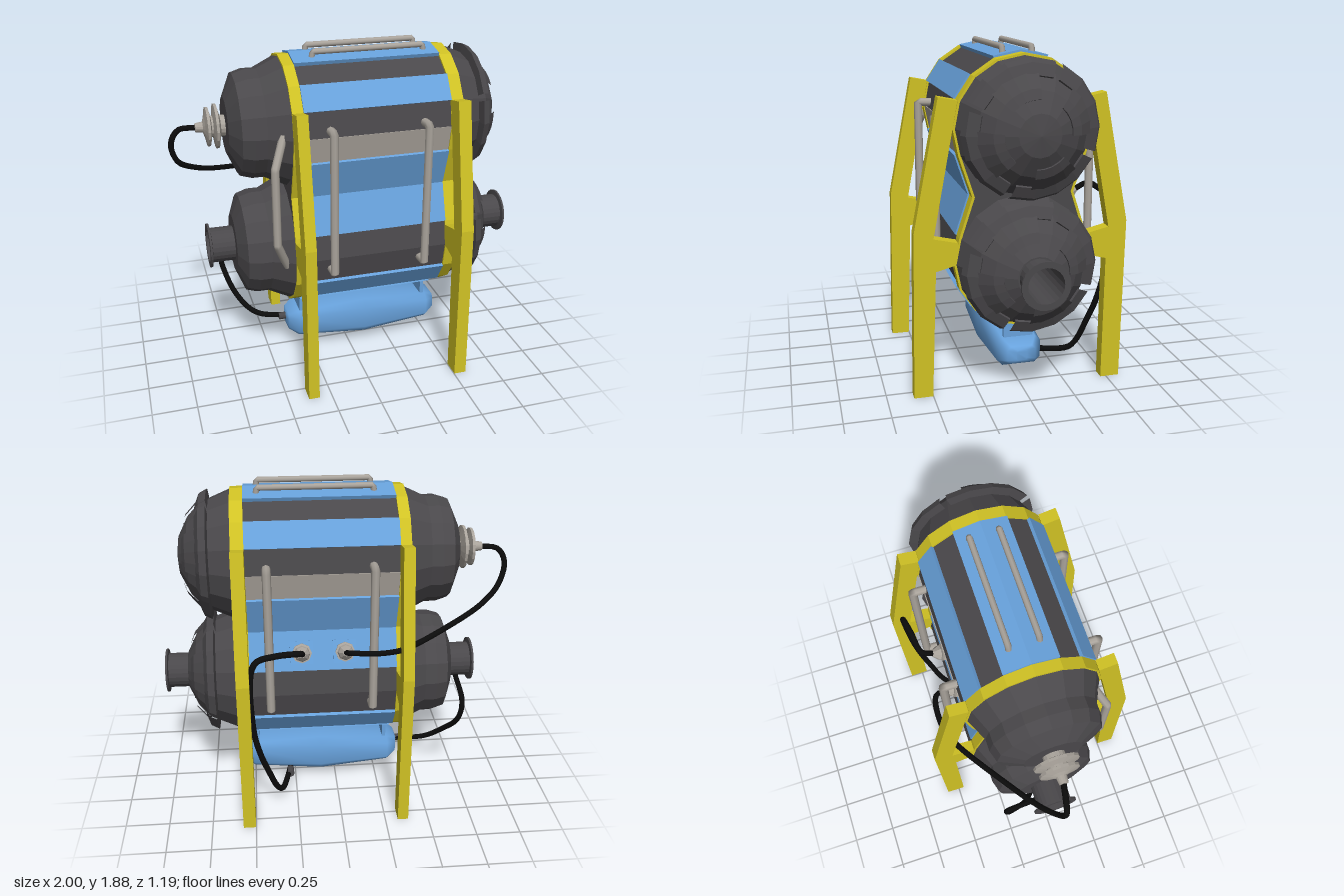
import * as THREE from 'three';

const mat = (name, color) => { const m = new THREE.MeshStandardMaterial({ color }); m.name = name; return m; };

export function createModel() {
  const root = new THREE.Group();
  root.name = 'twinTankUnit';
  const dark = mat('darkMetal', 0x4a484b), yellow = mat('yellowFrame', 0xd0c224), blue = mat('bluePanel', 0x68a2dc);
  const grey = mat('greyMetal', 0xaaa49c), black = mat('blackCable', 0x0c0c0c);

  const add = (name, geo, m, parent = root) => {
    const mesh = new THREE.Mesh(geo, m);
    mesh.name = name;
    parent.add(mesh);
    return mesh;
  };
  const flat = (g) => { const f = g.index ? g.toNonIndexed() : g; f.computeVertexNormals(); return f; };

  const UP = 1.466, LOW = 0.743, WAIST = (UP + LOW) / 2;
  // Point [z, y] on a tank facet corner
  const at = (cy, deg, r) => [r * Math.cos(deg * Math.PI / 180), cy + r * Math.sin(deg * Math.PI / 180)];
  const mirror = (pts) => pts.map(([z, y]) => [-z, y]);
  const vec2 = (pts) => pts.map(([z, y]) => new THREE.Vector2(-z, y));

  // Figure-eight outline of the two joined tanks
  const outline = (r) => {
    const half = [];
    for (let a = 90; a >= -22.5; a -= 22.5) half.push(at(UP, a, r));
    half.push([r - 0.1, WAIST]);
    for (let a = 22.5; a >= -90; a -= 22.5) half.push(at(LOW, a, r));
    return [...half, ...mirror(half).reverse().slice(1, -1)];
  };
  // Extrude a [z, y] polygon from x0 to x1
  const prism = (pts, x0, x1, hole) => {
    const shape = new THREE.Shape(vec2(pts));
    if (hole) shape.holes.push(hole);
    const g = new THREE.ExtrudeGeometry(shape, { depth: x1 - x0, bevelEnabled: false });
    return g.rotateY(Math.PI / 2).translate(x0, 0, 0);
  };
  // Turn an [x, radius] profile around the x axis at height y
  const turned = (profile, y, sides = 16, start = 0, length = Math.PI * 2) =>
    flat(new THREE.LatheGeometry(profile.map(([x, r]) => new THREE.Vector2(r, x)), sides, start, length)
      .rotateZ(-Math.PI / 2).translate(0, y, 0));
  const tube = (pts, r, smooth, sides = 8) => {
    const curve = new THREE.CatmullRomCurve3(pts.map((p) => new THREE.Vector3(...p)), false, 'catmullrom', smooth ? 0.5 : 0);
    return new THREE.TubeGeometry(curve, 60, r, sides);
  };

  // Joined tank body with a bore for the through pipe
  const bore = new THREE.Path().absarc(0, LOW, 0.098, 0, Math.PI * 2, true);
  add('tankBody', prism(outline(0.365), -0.38, 0.57, bore), dark);

  // Yellow hoops and legs at both ends
  const frontLeg = [[0.605, 0], [0.588, 0.923], [0.449, 1.631], [0.349, 1.611], [0.484, 0.893],
    [0.355, 0.863], [0.355, 0.743], [0.474, 0.713], [0.502, 0]];
  const backLeg = mirror(frontLeg);
  backLeg[0] = [-0.575, 0];
  backLeg[8] = [-0.467, 0];
  for (const [x0, x1] of [[-0.383, -0.322], [0.502, 0.573]]) {
    add('hoop', prism(outline(0.376), x0, x1, new THREE.Path(vec2(outline(0.362)))), yellow);
    add('frontLeg', prism(frontLeg, x0, x1), yellow);
    add('backLeg', prism(backLeg, x0, x1), yellow);
  }

  // Cladding plates along the facets
  const plate = (name, corner, m, thick) => {
    const pts = [...corner(0.365 + thick), ...corner(0.36).reverse()];
    return [name, pts, m];
  };
  const sidePlates = [
    plate('shoulderPanel', (r) => [at(UP, 45, r), at(UP, 22.5, r)], blue, 0.02),
    plate('greyStrip', (r) => [at(UP, 0, r), at(UP, -22.5, r)], grey, 0.005),
    plate('waistPanel', (r) => [at(UP, -22.5, r), [r - 0.1, WAIST], at(LOW, 22.5, r)], blue, 0.02),
    plate('lowerPanel', (r) => [at(LOW, -22.5, r), at(LOW, -45, r)], blue, 0.02),
  ];
  for (const [name, pts, m] of sidePlates) {
    add(name, prism(pts, -0.322, 0.502), m);
    add(name, prism(mirror(pts), -0.322, 0.502), m);
  }
  for (const [name, cy, s] of [['topPanel', UP, 1], ['bottomPanel', LOW, -1]]) {
    const p = plate(name, (r) => [67.5, 90, 112.5].map((a) => at(cy, a * s, r)), blue, 0.022);
    add(name, prism(p[1], -0.322, 0.502), blue);
  }

  // Tank ends: stepped on the right, domed on the left
  const stepped = [[-0.635, 0.285], [-0.57, 0.305], [-0.505, 0.305], [-0.38, 0.365]];
  const dome = [[0.745, 0.29], [0.81, 0.22], [0.865, 0.11]];
  const collar = [[0.57, 0.365], [0.7, 0.31]];
  add('upperSteppedEnd', turned([[-0.69, 0], [-0.69, 0.16], ...stepped], UP), dark);
  add('lowerSteppedEnd', turned([[-0.68, 0.098], [-0.68, 0.17], ...stepped], LOW), dark);
  add('upperDome', turned([...collar, ...dome, [0.88, 0]], UP), dark);
  add('lowerDome', turned([...collar, ...dome, [0.865, 0.098]], LOW), dark);

  // Split flanges and raised wedges on the domes
  const flange = [[0.69, 0.3], [0.7, 0.365], [0.74, 0.345], [0.765, 0.285], [0.74, 0.27]];
  const wedge = [[0.74, 0.29], [0.757, 0.297], [0.822, 0.226], [0.842, 0.175], [0.825, 0.17]];
  // Close the cut ends of an arc with flat polygons
  const arc = (name, profile, cy, start, length) => {
    const g = turned(profile, cy, 4, start, length);
    add(name, g, dark);
    for (const phi of [start, start + length]) {
      const cap = new THREE.ShapeGeometry(new THREE.Shape(profile.map(([x, r]) => new THREE.Vector2(r, x))));
      if (phi === start) cap.index.array.reverse();
      cap.rotateY(phi - Math.PI / 2).rotateZ(-Math.PI / 2).translate(0, cy, 0);
      add(name + 'End', flat(cap), dark);
    }
  };
  for (const cy of [UP, LOW]) for (let i = 0; i < 4; i++) {
    const mid = Math.PI / 8 + i * Math.PI / 2;
    arc('domeFlange', flange, cy, mid - 0.73, 1.46);
    arc('domeWedge', wedge, cy, mid - 0.45, 0.9);
  }

  // Open pipe running through the lower tank
  add('throughPipe', turned([[0.995, 0.095], [-0.826, 0.095], [-0.826, 0.128], [-0.814, 0.128], [-0.81, 0.101],
    [0.98, 0.101], [0.984, 0.128], [0.995, 0.128], [0.995, 0.095]], LOW, 24), dark);

  // Disc insulator on the upper tank
  add('insulator', turned([[-0.855, 0], [-0.85, 0.025], [-0.81, 0.03], [-0.8, 0.06], [-0.79, 0.108], [-0.775, 0.108],
    [-0.765, 0.06], [-0.755, 0.06], [-0.745, 0.123], [-0.73, 0.123], [-0.715, 0.06], [-0.68, 0.06]], UP, 16), grey);

  // Grab rails
  for (const [x, s] of [[-0.18, 1], [0.35, 1], [-0.18, -1], [0.39, -1]]) {
    const rail = [[x, 1.5, s * 0.33], [x, 1.505, s * 0.43], [x, 0.685, s * 0.43], [x, 0.68, s * 0.33]];
    add('sideRail', tube(rail, 0.024), grey);
  }
  for (const z of [-0.08, 0.08]) {
    add('topRail', tube([[-0.21, 1.82, z], [-0.205, 1.862, z], [0.425, 1.862, z], [0.43, 1.82, z]], 0.017), grey);
  }
  add('endRail', tube([[-0.42, 1.5, 0.31], [-0.49, 1.32, 0.385], [-0.49, 0.88, 0.385], [-0.42, 0.7, 0.31]], 0.023), grey);

  // Slung tank, built from chamfered cross-sections
  const rings = [[-0.385, 0.03, 0.03], [-0.375, 0.08, 0.05], [-0.32, 0.125, 0.08], [0.093, 0.145, 0.112],
    [0.5, 0.125, 0.08], [0.56, 0.08, 0.05], [0.57, 0.03, 0.03]];
  const corners = [[1, 0.6], [0.75, 1], [-0.75, 1], [-1, 0.6], [-1, -0.6], [-0.75, -1], [0.75, -1], [1, -0.6]];
  const pos = [], idx = [];
  rings.forEach(([x, w, h], i) => {
    corners.forEach(([z, y], j) => {
      pos.push(x, 0.184 + y * h, z * w);
      if (i < rings.length - 1) {
        const a = i * 8 + j, b = i * 8 + (j + 1) % 8;
        idx.push(a, b, a + 8, b, b + 8, a + 8);
      }
    });
  });
  const lastRing = (rings.length - 1) * 8;
  for (let j = 1; j < 7; j++) idx.push(0, j + 1, j, lastRing, lastRing + j, lastRing + j + 1);
  // Keep every face turned outward
  const slung = new THREE.BufferGeometry();
  slung.setAttribute('position', new THREE.Float32BufferAttribute(pos, 3));
  slung.setIndex(idx);
  slung.computeVertexNormals();
  if (slung.attributes.normal.getY(3 * 8 + 1) < 0) {
    slung.setIndex(idx.reverse());
    slung.computeVertexNormals();
  }
  add('slungTank', slung, blue);
  for (const x of [-0.3, 0.48]) add('tankHanger', new THREE.BoxGeometry(0.022, 0.14, 0.17).translate(x, 0.305, 0), blue);

  // Back connectors on a blue base, square to the lower waist facet
  const normal = new THREE.Vector3(0, 0.34, -0.94).normalize();
  for (const x of [-0.03, 0.21]) {
    const g = new THREE.Group();
    g.name = 'connector';
    g.position.set(x, 0.985, -0.315);
    g.quaternion.setFromUnitVectors(new THREE.Vector3(0, 1, 0), normal);
    add('connectorBase', new THREE.BoxGeometry(0.13, 0.03, 0.13), blue, g);
    const profile = [[0.03, 0], [0.03, 0.03], [0.055, 0.035], [0.055, 0.05], [0.03, 0.055], [0.045, 0.065], [0.04, 0.08], [0.018, 0.11], [0, 0.11]];
    add('connectorPlug', flat(new THREE.LatheGeometry(profile.map((p) => new THREE.Vector2(...p)), 8)), grey, g);
    root.add(g);
  }

  // Cables
  add('upperCable', tube([[-0.84, UP, 0], [-0.94, 1.455, -0.02], [-0.985, 1.37, -0.03], [-0.955, 1.26, -0.06], [-0.87, 1.19, -0.13],
    [-0.72, 1.13, -0.23], [-0.4, 1.06, -0.43], [-0.24, 1.05, -0.49], [-0.07, 1.05, -0.48], [-0.03, 1.02, -0.41]], 0.016, true), black);
  add('backCable', tube([[0.21, 1.02, -0.41], [0.23, 1.06, -0.48], [0.36, 1.06, -0.5], [0.47, 1.03, -0.52], [0.5, 0.88, -0.52],
    [0.49, 0.6, -0.5], [0.46, 0.43, -0.47], [0.42, 0.29, -0.43], [0.37, 0.14, -0.38], [0.33, 0.085, -0.31], [0.28, 0.09, -0.1]], 0.017, true), black);
  add('lowerCable', tube([[-0.735, 0.66, -0.06], [-0.735, 0.6, -0.26], [-0.72, 0.46, -0.24], [-0.66, 0.32, -0.12],
    [-0.55, 0.22, -0.04], [-0.36, 0.195, 0]], 0.016, true), black);
  add('cablePlug', new THREE.CylinderGeometry(0.022, 0.022, 0.05, 8).rotateZ(Math.PI / 2).translate(-0.4, 0.197, 0), dark);
  add('cablePlug', new THREE.CylinderGeometry(0.022, 0.022, 0.06, 8).rotateX(Math.PI / 2).translate(0.285, 0.088, -0.16), dark);

  return root;
}
